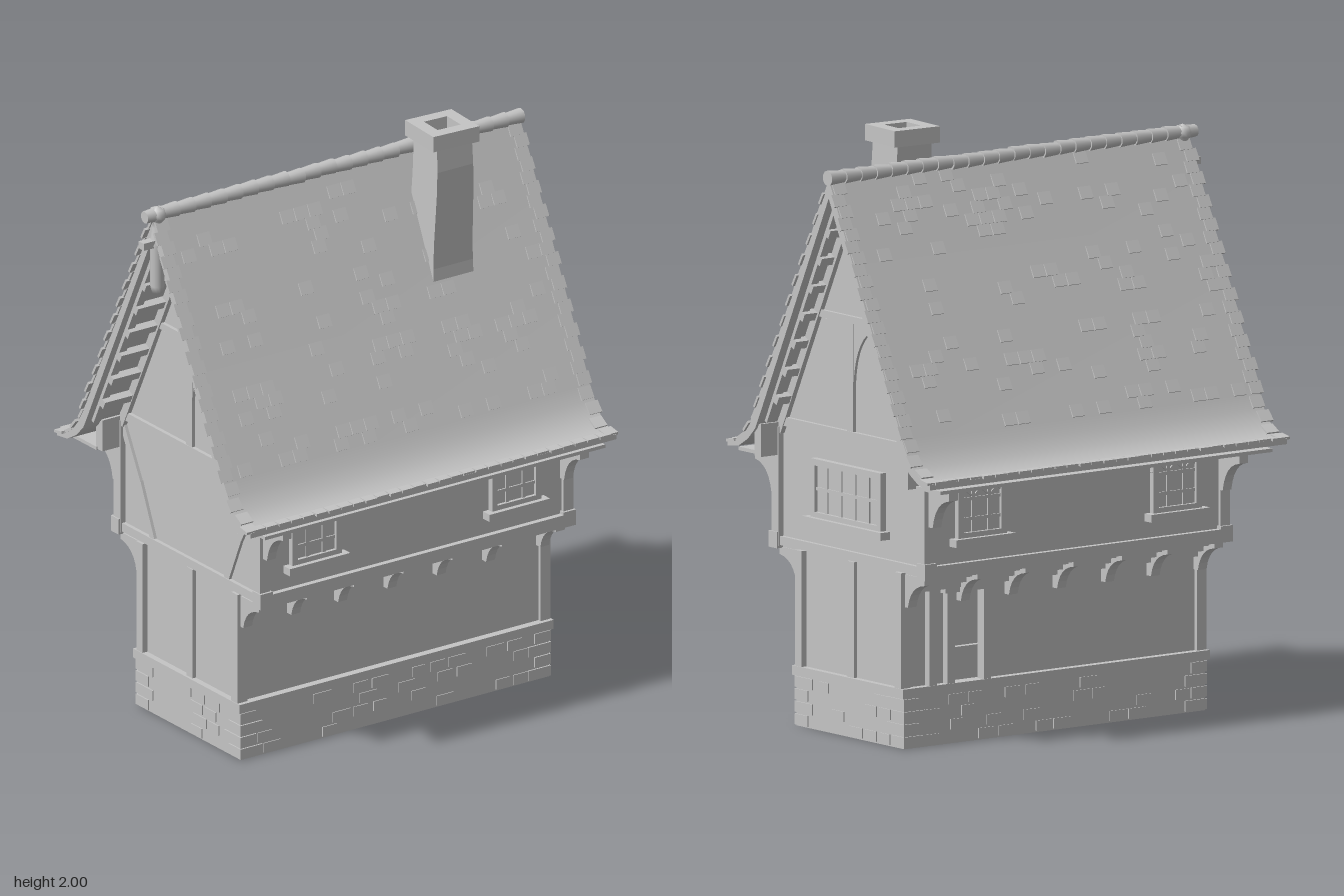
import * as THREE from 'three';
import { mergeGeometries, toCreasedNormals } from 'three/addons/utils/BufferGeometryUtils.js';

export function createModel() {
  const house = new THREE.Group();
  house.name = 'timberHouse';
  const grey = new THREE.MeshStandardMaterial({ color: 0xc4c4c4, side: THREE.DoubleSide });
  grey.name = 'plainGrey';

  let seed = 7;
  const rnd = () => (seed = (seed * 16807) % 2147483647) / 2147483647;

  const add = (name, geo, parent = house) => {
    const m = new THREE.Mesh(geo, grey);
    m.name = name;
    parent.add(m);
    return m;
  };
  const boxGeo = (w, h, d, x, y, z) => new THREE.BoxGeometry(w, h, d).translate(x, y, z);
  const box = (name, w, h, d, x, y, z, parent) => add(name, boxGeo(w, h, d, x, y, z), parent);
  const shapeOf = pts => new THREE.Shape(pts.map(p => new THREE.Vector2(p[0], p[1])));
  const rect = (x0, y0, x1, y1) => [[x0, y0], [x1, y0], [x1, y1], [x0, y1]];
  const holeOf = (...r) => new THREE.Path(rect(...r).map(p => new THREE.Vector2(p[0], p[1])));
  // beam between two points lying in a plane of constant z
  const beam = (name, a, b, z, width, depth, parent) => {
    const dx = b[0] - a[0], dy = b[1] - a[1];
    const g = new THREE.BoxGeometry(Math.hypot(dx, dy), width, depth);
    g.rotateZ(Math.atan2(dy, dx)).translate((a[0] + b[0]) / 2, (a[1] + b[1]) / 2, z);
    return add(name, g, parent);
  };

  const ZF = 0.575, ZB = -0.655, ZM = (ZF + ZB) / 2, LEN = ZF - ZB;
  const LX = 0.275, UX = 0.405; // half widths of lower and upper storey

  // stone plinth ring with slightly raised stones
  const ring = (name, w, d, t, h, x, y, z) => {
    const s = shapeOf(rect(-w / 2, -d / 2, w / 2, d / 2));
    s.holes.push(holeOf(t - w / 2, t - d / 2, w / 2 - t, d / 2 - t));
    return add(name, new THREE.ExtrudeGeometry(s, { depth: h, bevelEnabled: false }).rotateX(-Math.PI / 2).translate(x, y, z));
  };
  ring('plinth', 0.585, LEN + 0.02, 0.035, 0.18, 0, 0, ZM);
  ring('sillBeam', 0.605, LEN + 0.045, 0.05, 0.032, 0, 0.17, ZM);
  const stones = [];
  for (const s of [1, -1]) for (let row = 0; row < 4; row++) {
    const y = 0.022 + row * 0.042;
    for (let z = ZB + 0.1; z < ZF - 0.1; z += 0.078)
      if (rnd() < 0.4) stones.push(boxGeo(0.012, 0.034, 0.05 + rnd() * 0.025, s * 0.29, y, z + (row % 2) * 0.03));
    for (let x = -0.19; x < 0.2; x += 0.078)
      if (rnd() < 0.4) stones.push(boxGeo(0.05 + rnd() * 0.025, 0.034, 0.012, x + (row % 2) * 0.02, y, s > 0 ? ZF + 0.008 : ZB - 0.008));
    const w = 0.07 + (row % 2) * 0.025, d = 0.09 - (row % 2) * 0.025; // quoins
    stones.push(boxGeo(w, 0.036, d, s * (0.298 - w / 2), y, ZF + 0.015 - d / 2));
    stones.push(boxGeo(w, 0.036, d, s * (0.298 - w / 2), y, ZB - 0.015 + d / 2));
  }
  add('plinthStones', mergeGeometries(stones));

  // lower storey walls, with a doorway on the side at -x
  const lower = new THREE.PlaneGeometry(2 * LX, 0.42);
  add('lowerFrontWall', lower.clone().translate(0, 0.39, ZF));
  add('lowerBackWall', lower.clone().rotateY(Math.PI).translate(0, 0.39, ZB));
  add('lowerSideWall', new THREE.PlaneGeometry(LEN, 0.42).rotateY(Math.PI / 2).translate(LX, 0.39, ZM));
  const doorSide = shapeOf(rect(ZB, 0.18, ZF, 0.6));
  doorSide.holes.push(holeOf(-0.46, 0.2, -0.34, 0.51));
  add('doorWall', new THREE.ShapeGeometry(doorSide).rotateY(-Math.PI / 2).translate(-LX, 0, 0));
  for (const z of [-0.55, -0.475, -0.325]) box('doorPost', 0.035, 0.36, 0.03, -LX - 0.008, 0.37, z);
  box('doorLintel', 0.035, 0.03, 0.2, -LX - 0.008, 0.52, -0.4);

  // upper storey and gables
  const gable = new THREE.ShapeGeometry(shapeOf([[-UX, 0.585], [UX, 0.585], [UX, 0.98], [0, 1.82], [-UX, 0.98]]));
  add('frontGableWall', gable.clone().translate(0, 0, ZF));
  add('backGableWall', gable.clone().rotateY(Math.PI).translate(0, 0, ZB));
  for (const s of [1, -1]) {
    add('upperSideWall', new THREE.PlaneGeometry(LEN, 0.4).rotateY(s * Math.PI / 2).translate(s * UX, 0.785, ZM));
    add('jettyFloor', new THREE.PlaneGeometry(UX - LX, LEN).rotateX(Math.PI / 2).translate(s * (UX + LX) / 2, 0.585, ZM));
  }

  // solid curved brace filling the corner between king post and collar beam
  const spandrel = new THREE.Shape();
  spandrel.moveTo(0, 1.19);
  spandrel.lineTo(0.018, 1.19);
  spandrel.quadraticCurveTo(0.03, 1.35, 0.14, 1.385);
  spandrel.lineTo(0, 1.4);
  const spandrelGeo = new THREE.ExtrudeGeometry(spandrel, { depth: 0.02, bevelEnabled: false, curveSegments: 8 }).translate(0, 0, -0.01);

  // timber framing, built facing forward and turned round for the back
  const frameEnd = (parent, front) => {
    for (const s of [1, -1]) {
      box('lowerCornerPost', 0.035, 0.4, 0.04, s * 0.27, 0.39, 0, parent);
      box('upperCornerPost', 0.04, 0.4, 0.04, s * 0.397, 0.79, 0, parent);
      box('beamEnd', 0.045, 0.055, 0.05, s * 0.403, 0.61, 0, parent);
      if (front) {
        beam('diagonalBrace', [s * 0.38, 0.97], [s * 0.285, 0.79], 0, 0.026, 0.022, parent);
        beam('diagonalBrace', [s * 0.288, 0.8], [s * 0.21, 0.62], 0, 0.026, 0.022, parent);
      }
      const brace = add('curvedBrace', spandrelGeo, parent);
      if (s < 0) brace.rotation.y = Math.PI;
    }
    box('jettyBeam', 0.8, 0.03, 0.028, 0, 0.608, 0, parent);
    box('tieBeam', 0.78, 0.03, 0.028, 0, 1.01, 0, parent);
    box('collarBeam', 0.39, 0.024, 0.026, 0, 1.4, 0, parent);
    box('kingPost', 0.034, 0.38, 0.024, 0, 1.205, 0, parent);
    box('lowerMiddlePost', 0.036, 0.39, 0.026, 0.005, 0.395, 0, parent);
  };
  for (const front of [true, false]) {
    const end = new THREE.Group();
    end.name = front ? 'frontFraming' : 'backFraming';
    end.position.z = front ? ZF : ZB;
    if (!front) end.rotation.y = Math.PI;
    frameEnd(end, front);
    house.add(end);
  }

  // side jetty beams, joists and brackets
  const bracketShape = new THREE.Shape();
  bracketShape.moveTo(0, 0);
  bracketShape.lineTo(0.025, 0);
  bracketShape.quadraticCurveTo(0.04, 0.075, 0.12, 0.085);
  bracketShape.lineTo(0.12, 0.11);
  bracketShape.lineTo(0, 0.11);
  const bracketGeo = new THREE.ExtrudeGeometry(bracketShape, { depth: 0.036, bevelEnabled: false, curveSegments: 6 }).translate(0, 0, -0.018);
  const bracket = (name, s, x, y, z, sy) => {
    const m = add(name, bracketGeo.clone().scale(0.95, sy, 1));
    m.position.set(s * x, y, z);
    if (s < 0) m.rotation.y = Math.PI;
  };
  for (const s of [1, -1]) {
    box('sideJettyBeam', 0.03, 0.045, LEN + 0.02, s * 0.41, 0.605, ZM);
    box('eavesBeam', 0.03, 0.03, LEN + 0.02, s * 0.41, 0.905, ZM);
    for (let i = 0; i < 3; i++) box('jettyBoard', 0.03, 0.017, LEN, s * (0.29 + i * 0.03), 0.53 + i * 0.022, ZM);
    for (const z of [0.565, 0.37, 0.18, -0.02, -0.22, -0.42, -0.64]) bracket('jettyBracket', s, 0.28, 0.475, z, 1);
    for (const z of [0.565, -0.64]) bracket('eavesBracket', s, 0.415, 0.76, z, 1.2);
    for (const z of [0.16, -0.02, -0.25]) box('eavesStub', 0.08, 0.025, 0.04, s * 0.44, 0.895, z);
    box('eavesBoard', 0.14, 0.012, 1.38, s * 0.48, 0.898, -0.02);
  }

  // framed windows with sills and glazing bars
  const windowUnit = (name, w, h, cols, rows, x, y, z, ry, lattice) => {
    const g = new THREE.Group();
    g.name = name;
    g.position.set(x, y, z);
    g.rotation.y = ry;
    for (const s of [1, -1]) {
      box('windowJamb', 0.022, h, 0.036, s * (w / 2 - 0.011), 0, 0, g);
      box('windowRail', w, 0.022, 0.036, 0, s * (h / 2 - 0.011), 0, g);
    }
    box('windowSill', w + 0.045, 0.026, 0.06, 0, -h / 2 - 0.008, 0.005, g);
    box('windowPane', w - 0.03, h - 0.03, 0.006, 0, 0, 0.003, g);
    for (let i = 1; i < cols; i++) box('uprightBar', 0.013, h, 0.022, (i / cols - 0.5) * w, 0, 0, g);
    for (let i = 1; i < rows; i++) box('crossBar', w, 0.011, 0.022, 0, (i / rows - 0.5) * h, 0, g);
    if (lattice) for (let i = 0; i < cols; i++) for (const s of [1, -1]) {
      const c = ((i + 0.5) / cols - 0.5) * w, r = w / cols / 2;
      beam('latticeBar', [c - r, h * (0.33 - s * 0.13)], [c + r, h * (0.33 + s * 0.13)], 0.006, 0.006, 0.01, g);
    }
    house.add(g);
  };
  for (const s of [1, -1]) for (const z of [0.37, -0.44])
    windowUnit('sideWindow', 0.2, 0.2, 3, 3, s * 0.408, 0.805, z, s * Math.PI / 2, true);
  windowUnit('backWindow', 0.38, 0.2, 5, 2, 0.01, 0.81, ZB - 0.005, Math.PI, false);

  // roof with flared eaves
  const outer = [[0.4, 1.06], [0.425, 1.015], [0.46, 0.97], [0.505, 0.94], [0.55, 0.93]];
  const inner = [[0.55, 0.912], [0.49, 0.92], [0.44, 0.95], [0.4, 0.99], [0.37, 1.05]];
  const half = [...outer, ...inner];
  const roofShape = shapeOf([[0, 1.88], ...half, [0, 1.815], ...half.map(p => [-p[0], p[1]]).reverse()].reverse());
  const roof = new THREE.ExtrudeGeometry(roofShape, { depth: 1.485, bevelEnabled: false }).translate(0, 0, -0.755);
  add('roof', toCreasedNormals(roof, 0.6));

  // scattered low shingles in clusters, with ragged ones along the verges and eaves
  const shingles = [];
  const shingle = (side, a, b, t, z, w) => {
    const dx = b[0] - a[0], dy = b[1] - a[1];
    const g = new THREE.BoxGeometry(0.043, 0.009, w).rotateZ(Math.atan2(dy, dx) + 0.05);
    g.translate(a[0] + dx * t, a[1] + dy * t, z);
    shingles.push(side < 0 ? g.rotateY(Math.PI) : g);
  };
  const clusters = [0.5, 0.17, -0.03, -0.35, -0.6], top = [0, 1.88];
  for (const side of [1, -1]) {
    for (let row = 0; row < 22; row++) {
      const t = 0.04 + row * 0.0445;
      for (let z = -0.67; z < 0.68; z += 0.056) {
        const near = clusters.some(c => Math.abs(c - z) < 0.085);
        if (rnd() < (near && row % 6 > 1 ? 0.38 : 0.04)) shingle(side, top, outer[0], t, z + (row % 2) * 0.02, 0.05);
      }
      for (const e of [1, -1]) shingle(side, top, outer[0], t, e * (0.715 + (row % 2) * 0.012 + rnd() * 0.006) - side * 0.008, 0.05);
    }
    for (let i = 0; i < 4; i++) for (const e of [1, -1])
      shingle(side, outer[i], outer[i + 1], 0.5, e * (0.718 + (i % 2) * 0.01) - side * 0.01, 0.05);
    for (let z = -0.71; z < 0.73; z += 0.05)
      shingles.push(boxGeo(0.05, 0.01, 0.046, side * (0.524 + rnd() * 0.008), 0.932, z));
  }
  add('shingles', mergeGeometries(shingles));

  // ridge tiles, each overlapping the next
  const tiles = [];
  for (let i = 0; i < 24; i++)
    tiles.push(new THREE.CylinderGeometry(0.021, 0.026, 0.066, 10).rotateX(Math.PI / 2)
      .translate(0, 1.882 + rnd() * 0.004, -0.727 + i * 0.0635));
  add('ridgeTiles', mergeGeometries(tiles));

  // barge rafters with lookouts running back to the gables
  for (const [zEnd, zWall] of [[0.69, ZF], [-0.71, ZB]]) for (const s of [1, -1]) {
    beam('bargeRafter', [0, 1.815], [s * 0.39, 1.015], zEnd, 0.03, 0.03);
    beam('wallRafter', [0, 1.765], [s * 0.385, 0.975], zWall, 0.03, 0.035);
    for (let i = 1; i < 8; i++) {
      const t = i / 8;
      const g = new THREE.BoxGeometry(0.03, 0.026, Math.abs(zEnd - zWall) + 0.03).rotateZ(-s * 1.12);
      add('lookout', g.translate(s * 0.375 * t, 1.79 - 0.795 * t, (zEnd + zWall) / 2));
    }
    box('wallPlateEnd', 0.035, 0.11, 0.1, s * 0.4, 0.95, zWall + Math.sign(zEnd) * 0.04);
  }

  // front finial with pendant post and ball
  const finial = [[0, 1.6], [0.018, 1.605], [0.024, 1.63], [0.024, 1.76], [0.03, 1.78], [0.022, 1.8], [0.018, 1.84], [0.016, 1.855],
    [0.028, 1.87], [0.031, 1.885], [0.024, 1.903], [0, 1.912]].map(p => new THREE.Vector2(p[0], p[1]));
  add('finial', new THREE.LatheGeometry(finial, 12).translate(0, 0, 0.715));
  box('finialPeg', 0.03, 0.025, 0.08, 0, 1.785, 0.74);

  // crooked chimney with a hollow cap
  const shaft = new THREE.CylinderGeometry(0.1, 0.116, 0.52, 4, 6, true).rotateY(Math.PI / 4);
  const pos = shaft.attributes.position;
  for (let i = 0; i < pos.count; i++) pos.setX(i, pos.getX(i) * 0.95 + 0.01 * Math.sin(pos.getY(i) * 9));
  const chimney = shaft.translate(0.13, 1.69, -0.345).toNonIndexed();
  chimney.computeVertexNormals();
  add('chimneyShaft', chimney);
  const cap = ring('chimneyCap', 0.175, 0.18, 0.045, 0.055, 0, 0, 0);
  cap.position.set(0.135, 1.945, -0.345);
  cap.rotation.y = -0.06;
  box('flueFloor', 0.12, 0.01, 0.12, 0.135, 1.87, -0.345);

  return house;
}
